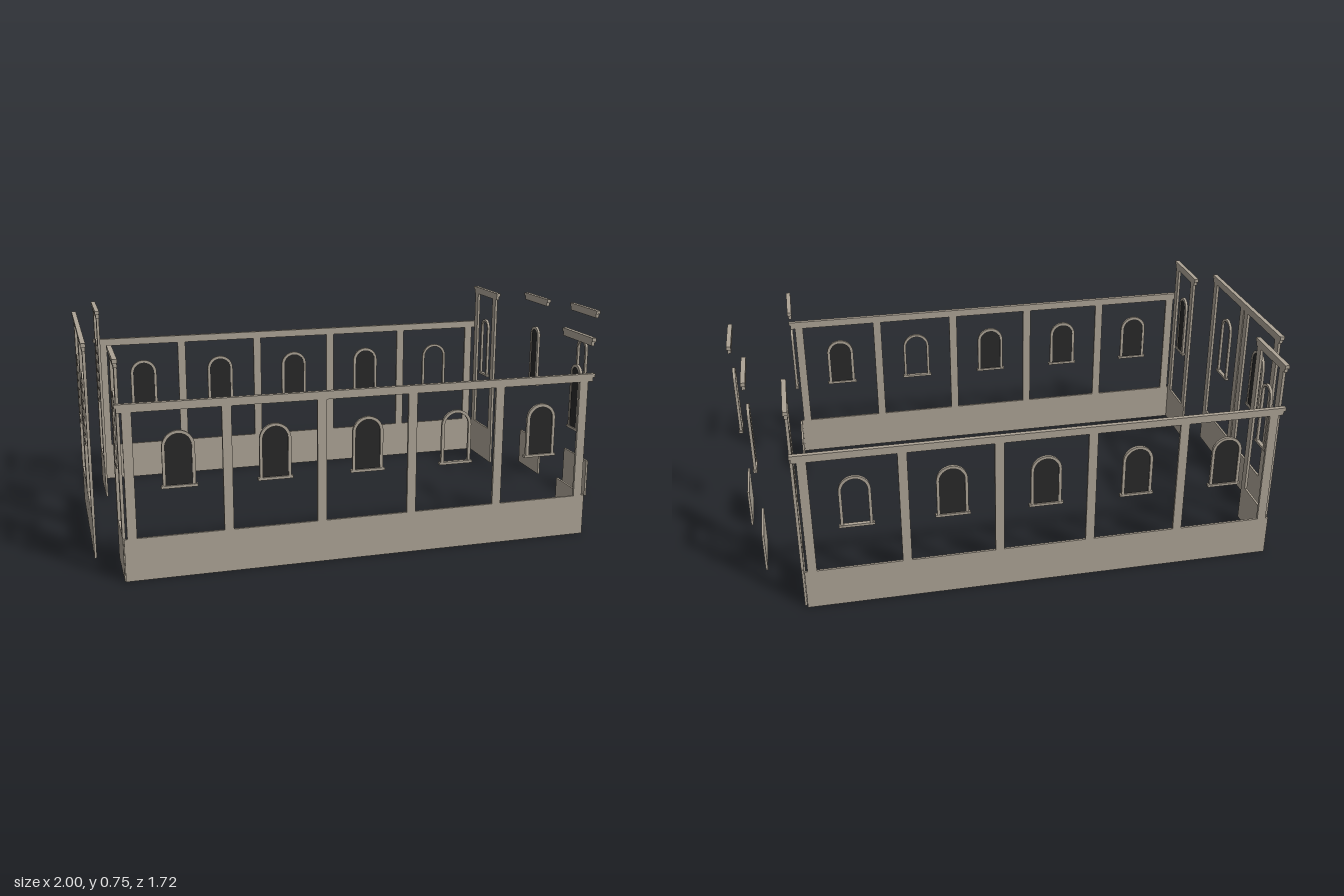
import * as THREE from 'three';

const stone = new THREE.MeshStandardMaterial({ color: 0xaca395 });
stone.name = 'stone';
const glass = new THREE.MeshStandardMaterial({ color: 0x282828 });
glass.name = 'dark glass';

const BASE_TOP = 0.145;

function box(parent, name, w, h, d, x, y, z) {
  const mesh = new THREE.Mesh(new THREE.BoxGeometry(w, h, d), stone);
  mesh.name = name;
  mesh.position.set(x, y, z);
  parent.add(mesh);
}

// Round-headed outline
function archPath(path, w, h, bottom) {
  const r = w / 2;
  path.moveTo(-r, bottom);
  path.lineTo(r, bottom);
  path.lineTo(r, h - r);
  path.absarc(0, h - r, r, 0, Math.PI, false);
  path.lineTo(-r, bottom);
  return path;
}

// Arched frame, sill and optional dark pane
function makeWindow(w, h, open) {
  const group = new THREE.Group();
  group.name = open ? 'openWindow' : 'glazedWindow';
  const t = 0.01;
  const shape = archPath(new THREE.Shape(), w, h, 0);
  shape.holes.push(archPath(new THREE.Path(), w - 2 * t, h - t, 0.006));
  const frame = new THREE.Mesh(
    new THREE.ExtrudeGeometry(shape, { depth: 0.01, bevelEnabled: false, curveSegments: 10 }), stone);
  frame.name = 'windowFrame';
  frame.position.z = -0.004;
  group.add(frame);
  box(group, 'windowSill', w + 0.012, 0.009, 0.014, 0, 0.0045, 0.001);
  if (!open) {
    const pane = new THREE.Mesh(new THREE.ExtrudeGeometry(
      archPath(new THREE.Shape(), w - 2 * t, h - t, 0.006),
      { depth: 0.004, bevelEnabled: false, curveSegments: 10 }), glass);
    pane.name = 'windowPane';
    pane.position.z = -0.002;
    group.add(pane);
  }
  return group;
}

// One wall section: plinth, pilasters, arched windows and a stepped cornice
function makeWall({ name, turn, x, z, length, top, inset = 0.018, pilasters = true, bays, win }) {
  const wall = new THREE.Group();
  wall.name = name;
  wall.position.set(x, 0, z);
  wall.rotation.y = turn;
  box(wall, 'plinth', length, BASE_TOP, 0.008, 0, BASE_TOP / 2, 0);
  box(wall, 'corniceLower', length + 0.012, 0.015, 0.012, 0, top - 0.0205, 0.001);
  box(wall, 'corniceUpper', length + 0.024, 0.013, 0.016, 0, top - 0.0065, 0.002);

  const first = -length / 2 + inset;
  const step = -2 * first / bays.length;
  const shaft = top - 0.028 - BASE_TOP;
  if (pilasters) {
    for (let i = 0; i <= bays.length; i++) {
      box(wall, 'pilaster', 0.031, shaft, 0.01, first + i * step, BASE_TOP + shaft / 2, 0);
    }
  }
  bays.forEach((open, i) => {
    const w = makeWindow(win[0], win[1], open);
    w.position.set(first + (i + 0.5) * step, win[2], 0);
    wall.add(w);
  });
  return wall;
}

export function createModel() {
  const model = new THREE.Group();
  model.name = 'buildingFacades';
  const building = new THREE.Group();
  building.name = 'walls';
  building.rotation.y = THREE.MathUtils.degToRad(25.1);
  model.add(building);

  const L = -Math.PI / 2, R = Math.PI / 2;
  const low = [0.106, 0.19, 0.305];
  const walls = [
    // long walls, five bays each
    { name: 'frontWall', turn: 0, x: -0.021, z: 0.543, length: 1.625, top: 0.591, inset: 0.026, bays: [0, 0, 0, 1, 0], win: low },
    { name: 'backWall', turn: Math.PI, x: -0.006, z: -0.554, length: 1.645, top: 0.591, inset: 0.026, bays: [1, 0, 0, 0, 0], win: low },
    // end wall towards -x, with a projecting centre in two halves
    { name: 'westBackWall', turn: L, x: -0.83, z: -0.429, length: 0.222, top: 0.745, bays: [1], win: [0.077, 0.246, 0.371] },
    { name: 'westCentreBackWall', turn: L, x: -0.915, z: -0.155, length: 0.313, top: 0.745, bays: [0], win: [0.107, 0.248, 0.367] },
    { name: 'westCentreFrontWall', turn: L, x: -0.915, z: 0.161, length: 0.313, top: 0.745, bays: [1], win: [0.092, 0.246, 0.37] },
    { name: 'westFrontWall', turn: L, x: -0.833, z: 0.436, length: 0.21, top: 0.734, bays: [0], win: [0.075, 0.246, 0.362] },
    // end wall towards +x, in stepped sections
    { name: 'eastBackWall', turn: R, x: 0.822, z: -0.437, length: 0.218, top: 0.745, bays: [1], win: [0.073, 0.246, 0.37] },
    { name: 'eastInnerWall', turn: R, x: 0.952, z: -0.217, length: 0.186, top: 0.745, pilasters: false, bays: [0], win: [0.07, 0.246, 0.37] },
    { name: 'eastOuterWall', turn: R, x: 1.005, z: 0.088, length: 0.186, top: 0.745, pilasters: false, bays: [1], win: [0.073, 0.246, 0.37] },
    { name: 'eastFrontWall', turn: R, x: 0.792, z: 0.44, length: 0.195, top: 0.716, pilasters: false, bays: [0], win: [0.07, 0.24, 0.361] },
  ];
  walls.forEach((w) => building.add(makeWall(w)));
  return model;
}
